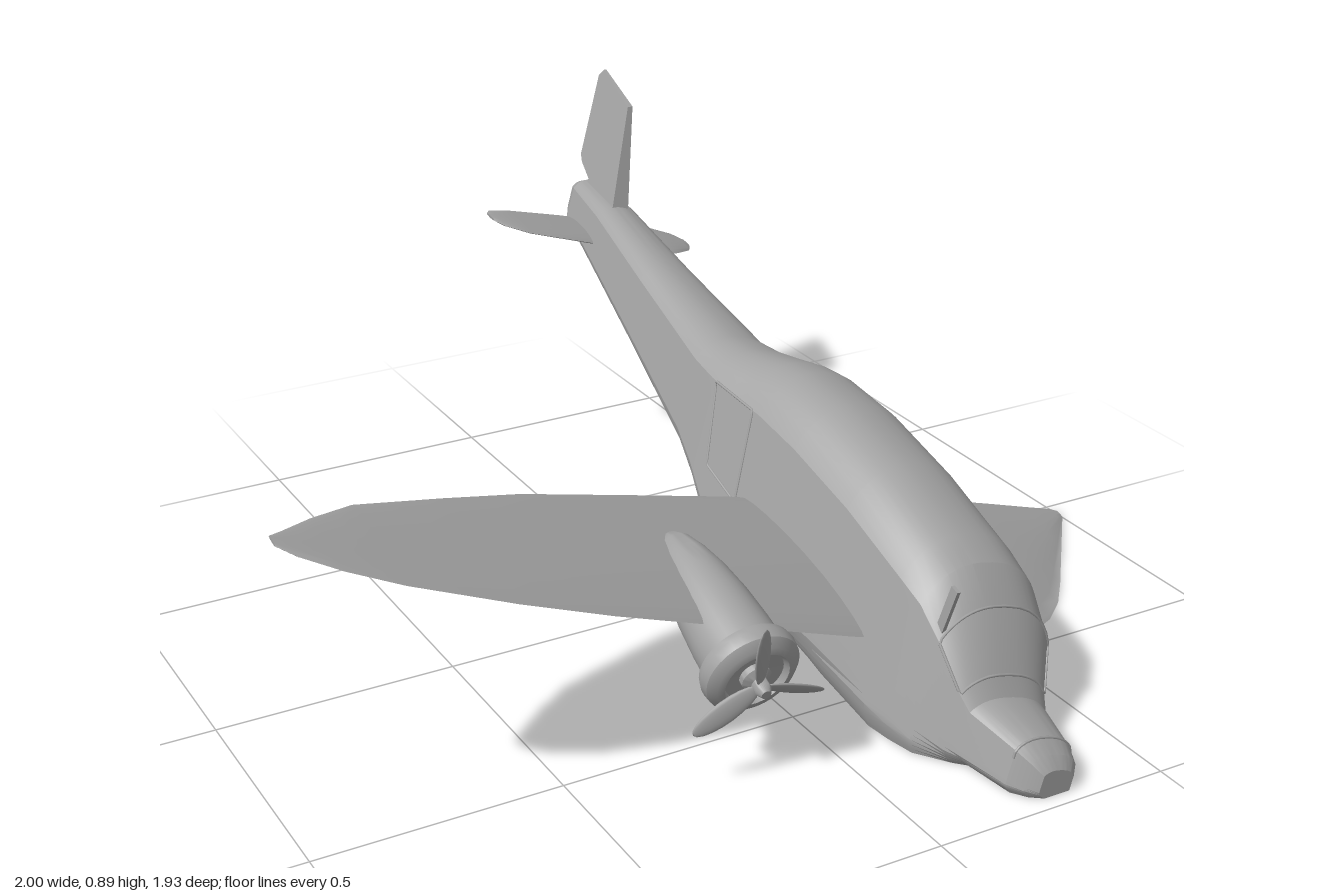
import * as THREE from 'three';
import { toCreasedNormals } from 'three/addons/utils/BufferGeometryUtils.js';

const V = (x, y, z) => new THREE.Vector3(x, y, z);
const ROLL = 0.28;
const SHOULDER = 0.54; // section angle where flat side meets the arched roof

// Skin a list of equal-length closed rings and cap both ends
function loft(rings, crease) {
  const n = rings[0].length, pos = [], idx = [];
  rings.forEach(r => r.forEach(p => pos.push(p.x, p.y, p.z)));
  for (let i = 0; i < rings.length - 1; i++) {
    for (let j = 0; j < n; j++) {
      const a = i * n + j, b = i * n + (j + 1) % n;
      idx.push(a, b, b + n, a, b + n, a + n);
    }
  }
  const end = (rings.length - 1) * n;
  for (let j = 1; j < n - 1; j++) idx.push(0, j + 1, j, end, end + j, end + j + 1);
  const g = new THREE.BufferGeometry();
  g.setAttribute('position', new THREE.Float32BufferAttribute(pos, 3));
  g.setIndex(idx);
  return toCreasedNormals(g, crease);
}

// Fuselage stations: z, centre x, centre y, half width, half height
const STATIONS = [
  [-0.925, 0.275, 0.598, 0.03, 0.042],
  [-0.89, 0.272, 0.593, 0.045, 0.06],
  [-0.75, 0.268, 0.553, 0.057, 0.08],
  [-0.5, 0.262, 0.463, 0.077, 0.105],
  [-0.2, 0.253, 0.36, 0.102, 0.14],
  [-0.12, 0.256, 0.328, 0.115, 0.17],
  [-0.05, 0.264, 0.29, 0.13, 0.212],
  [0, 0.273, 0.272, 0.139, 0.233],
  [0.06, 0.278, 0.262, 0.144, 0.242],
  [0.2, 0.28, 0.235, 0.147, 0.25],
  [0.4, 0.28, 0.19, 0.147, 0.245],
  [0.6, 0.275, 0.14, 0.147, 0.23],
  [0.66, 0.28, 0.12, 0.144, 0.215],
  [0.72, 0.28, 0.09, 0.135, 0.18],
  [0.785, 0.27, 0.06, 0.104, 0.1],
  [0.81, 0.27, 0.05, 0.094, 0.075],
  [0.92, 0.272, 0.035, 0.067, 0.062],
  [0.95, 0.277, 0.028, 0.053, 0.047],
  [0.968, 0.279, 0.022, 0.036, 0.03],
];

// Point on the rolled hull at z and section angle
function hull(z, a) {
  let i = 0;
  while (i < STATIONS.length - 2 && z > STATIONS[i + 1][0]) i++;
  const A = STATIONS[i], B = STATIONS[i + 1];
  const t = THREE.MathUtils.clamp((z - A[0]) / (B[0] - A[0]), 0, 1);
  const [, cx, cy, w, h] = A.map((v, k) => v + (B[k] - v) * t);
  const power = v => Math.sign(v) * Math.abs(v) ** 0.833;
  const px = w * THREE.MathUtils.clamp(1.136 * power(Math.cos(a)), -1, 1);
  const py = h * power(Math.sin(a));
  return V(cx + px * Math.cos(ROLL) + py * Math.sin(ROLL),
    cy - px * Math.sin(ROLL) + py * Math.cos(ROLL), z);
}

// Angle where the hull meets the ground, between a low and a high angle
function groundAngle(z, low, high) {
  if (hull(z, low).y >= 0) return low;
  for (let i = 0; i < 30; i++) {
    const mid = (low + high) / 2;
    if (hull(z, mid).y < 0) low = mid; else high = mid;
  }
  return high;
}

// Open arc of the section above the ground; the loft closes it with a flat base
function hullRing(z) {
  const stops = [groundAngle(z, -Math.PI / 2, SHOULDER), SHOULDER,
    Math.PI - SHOULDER, groundAngle(z, Math.PI * 1.5, Math.PI - SHOULDER)];
  const ring = [];
  for (let k = 0; k < 3; k++) {
    for (let j = 0; j < 18; j++) {
      ring.push(hull(z, stops[k] + (stops[k + 1] - stops[k]) * j / 18));
    }
  }
  ring.push(hull(z, stops[3]));
  ring.forEach(p => { p.y = Math.max(0, p.y); });
  return ring;
}

// Wing-like surface: stations are x, front z, rear z, half thickness;
// the plane is y = a + b x + c z
function wing(stations, [a, b, c]) {
  return loft(stations.map(([x, front, rear, thick]) => {
    const ring = [];
    for (let j = 0; j < 20; j++) {
      const t = j / 20 * Math.PI * 2;
      const z = (front + rear) / 2 + (front - rear) / 2 * Math.sin(t);
      const y = a + b * x + c * z + thick * Math.cos(t) * Math.abs(Math.cos(t)) ** 0.3;
      ring.push(V(x, Math.max(0, y), z));
    }
    return ring;
  }), 0.9);
}

export function createModel() {
  const model = new THREE.Group();
  const mat = new THREE.MeshStandardMaterial({ color: 0xa2a2a2 });
  const add = (name, geo, parent = model) => {
    const m = new THREE.Mesh(geo, mat);
    m.name = name;
    parent.add(m);
    return m;
  };

  // Fuselage
  add('fuselage', loft(STATIONS.map(s => hullRing(s[0])), 0.3));

  // Fine trim lines lying on the hull, given as [z, angle in degrees]
  const trim = (name, pts, closed = false) => {
    const path = new THREE.CurvePath();
    const p = pts.map(([z, d]) => hull(z, d * Math.PI / 180));
    for (let i = 0; i < p.length - (closed ? 0 : 1); i++) {
      path.add(new THREE.LineCurve3(p[i], p[(i + 1) % p.length]));
    }
    add(name, new THREE.TubeGeometry(path, 60, 0.003, 6, closed));
  };
  const arc = (z, from, to) =>
    Array.from({ length: 13 }, (_, i) => [z, from + (to - from) * i / 12]);
  trim('windshieldFrame', [...arc(0.72, 31, 149), ...arc(0.785, 149, 31)], true);
  trim('noseRing', arc(0.92, 15, 165));
  trim('cabinDoorFront', [[0.68, 31], [0.66, 18], [0.61, -18]]);
  trim('cabinDoorRear', [[0.59, 31], [0.51, -26]]);
  trim('sideHatch', [[-0.1, 149], [0.04, 149], [0.06, 190], [-0.06, 190]], true);

  // Thin frame post beside the windshield
  const post = add('windshieldPost', new THREE.BoxGeometry(0.008, 0.19, 0.02));
  post.position.set(0.192, 0.25, 0.708);
  post.rotation.set(0.3, 0, -0.08);

  // Raised right wing, and left wing cut off along the ground
  add('rightWing', wing([
    [-1, 0.445, 0.415, 0.003], [-0.97, 0.47, 0.395, 0.005],
    [-0.9, 0.5, 0.345, 0.009], [-0.8, 0.525, 0.285, 0.012],
    [-0.6, 0.548, 0.225, 0.016], [-0.42, 0.557, 0.175, 0.02],
    [-0.15, 0.555, 0.125, 0.024], [0.1, 0.55, 0.08, 0.028],
    [0.28, 0.54, 0.06, 0.03],
  ], [0.328, -0.364, -0.21]));
  add('leftWing', wing([
    [0.28, 0.53, 0.055, 0.03], [0.46, 0.505, 0.045, 0.025],
    [0.6, 0.475, 0.042, 0.02], [0.68, 0.43, 0.04, 0.017],
    [0.74, 0.38, 0.038, 0.015], [0.8, 0.31, 0.036, 0.012],
    [0.9, 0.185, 0.034, 0.007], [0.98, 0.085, 0.032, 0.004],
    [1, 0.06, 0.036, 0.003],
  ], [0.347, -0.33, -0.29]));

  // Tailplane
  add('tailplane', wing([
    [-0.02, -0.78, -0.82, 0.003], [-0.005, -0.755, -0.842, 0.006],
    [0.05, -0.733, -0.862, 0.009], [0.2, -0.735, -0.89, 0.013],
    [0.34, -0.745, -0.905, 0.013], [0.44, -0.757, -0.915, 0.009],
    [0.5, -0.797, -0.897, 0.006], [0.52, -0.83, -0.87, 0.003],
  ], [0.535, -0.33, -0.12]));

  // Fin, leaning with the roll and thinning toward its tip
  const outline = [[-0.73, 0.6], [-0.8, 0.845], [-0.95, 0.895], [-0.967, 0.88],
    [-0.945, 0.7], [-0.93, 0.685], [-0.88, 0.66], [-0.87, 0.6]];
  const fin = new THREE.ExtrudeGeometry(
    new THREE.Shape(outline.map(([z, y]) => new THREE.Vector2(-z, y))),
    { depth: 1, bevelEnabled: false });
  const fp = fin.attributes.position;
  for (let i = 0; i < fp.count; i++) {
    const z = -fp.getX(i), y = fp.getY(i), side = fp.getZ(i) - 0.5;
    const thick = 0.005 + 0.04 * (0.9 - y) / 0.3;
    fp.setXYZ(i, 0.283 + ROLL * (y - 0.63) + side * thick, y, z);
  }
  fin.computeVertexNormals();
  add('fin', fin);

  // Engine nacelle with cowl and propeller, pointing down
  const engine = new THREE.Group();
  engine.name = 'engine';
  engine.position.set(-0.175, 0.228, 0.61);
  engine.rotation.set(0.33, -0.05, 0);
  model.add(engine);
  const turned = (name, pts) => {
    const curve = pts.map(([r, z]) => new THREE.Vector2(r, z));
    const g = toCreasedNormals(new THREE.LatheGeometry(curve, 32), 0.6);
    add(name, g.rotateX(Math.PI / 2), engine);
  };
  turned('nacelle', [[0, -0.345], [0.018, -0.338], [0.034, -0.315], [0.05, -0.27],
    [0.064, -0.21], [0.074, -0.14], [0.08, -0.06], [0.082, 0.01]]);
  turned('cowl', [[0.08, -0.01], [0.094, -0.005], [0.098, 0.01], [0.095, 0.03],
    [0.08, 0.045], [0.066, 0.048], [0.06, 0.035], [0, 0.03]]);
  turned('hub', [[0.03, 0.03], [0.03, 0.045], [0.016, 0.055], [0.016, 0.072],
    [0.01, 0.085], [0, 0.088]]);
  const blade = new THREE.SphereGeometry(1, 16, 10);
  blade.scale(0.023, 0.075, 0.006).rotateY(0.5).translate(0, 0.08, 0);
  for (let i = 0; i < 3; i++) {
    const b = add('propellerBlade', blade, engine);
    b.position.z = 0.062;
    b.rotation.z = 0.15 + i * Math.PI * 2 / 3;
  }

  return model;
}
